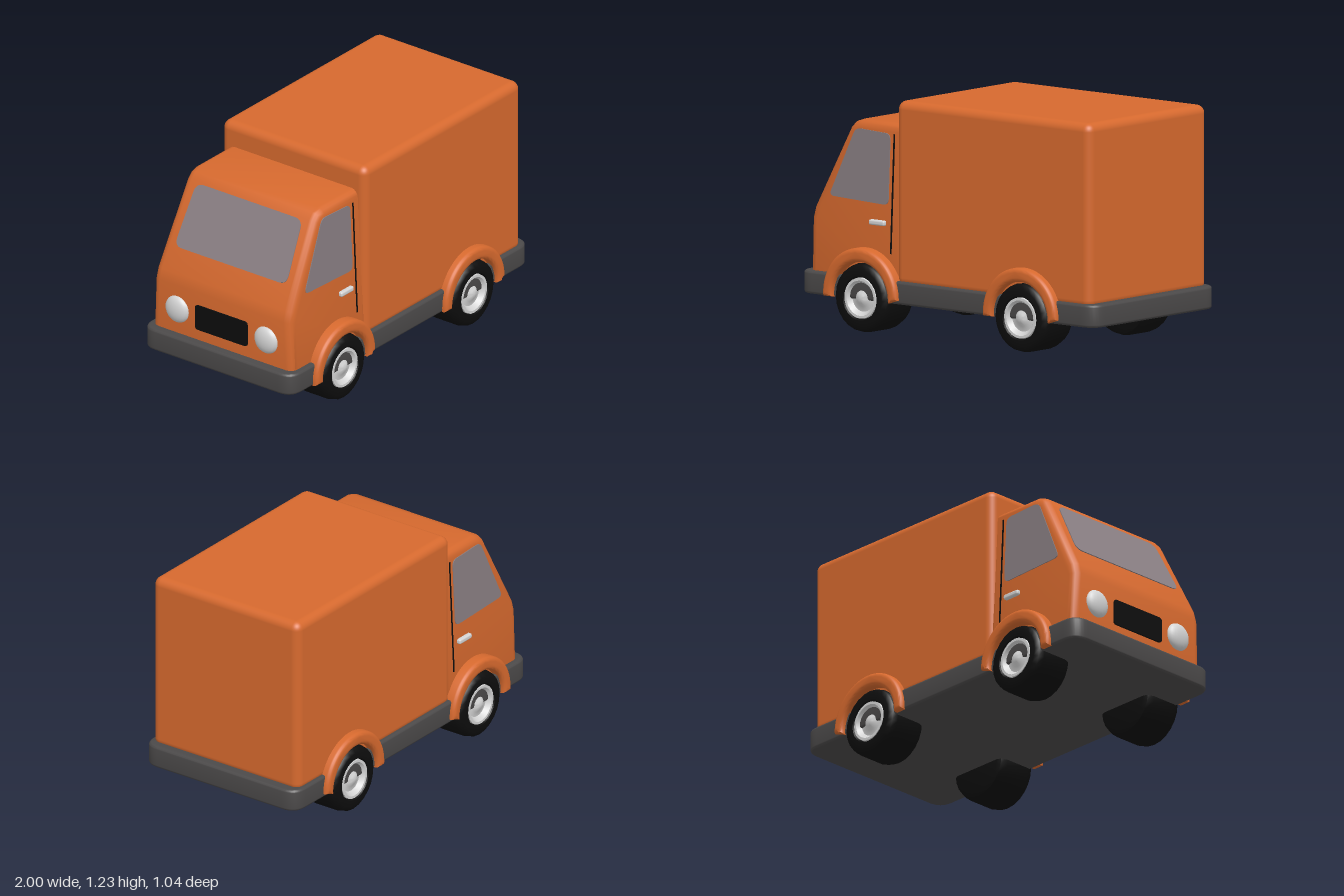
import * as THREE from 'three';
import { toCreasedNormals } from 'three/addons/utils/BufferGeometryUtils.js';
import { RoundedBoxGeometry } from 'three/addons/geometries/RoundedBoxGeometry.js';

const mat = (name, color) => {
  const m = new THREE.MeshStandardMaterial({ color });
  m.name = name;
  return m;
};

export function createModel() {
  const orange = mat('orange paint', 0xd6692e);
  const grey = mat('dark grey trim', 0x4b4949);
  const black = mat('black rubber', 0x0d0d0d);
  const glass = mat('grey glass', 0x8a7f83);
  const silver = mat('silver', 0xd4d4d4);

  const truck = new THREE.Group();
  truck.name = 'truck';
  const add = (name, geometry, material, parent = truck) => {
    const mesh = new THREE.Mesh(geometry, material);
    mesh.name = name;
    parent.add(mesh);
    return mesh;
  };
  const shapeOf = (pts) => new THREE.Shape(pts.map((p) => new THREE.Vector2(...p)));

  // Rectangle-like polygon with softened corners
  const softShape = (pts, r) => {
    const s = new THREE.Shape();
    pts.forEach((p, i) => {
      const v = new THREE.Vector2(...p);
      const toward = (q) => new THREE.Vector2(...q).sub(v).setLength(r).add(v);
      const a = toward(pts[(i + pts.length - 1) % pts.length]);
      const b = toward(pts[(i + 1) % pts.length]);
      if (i) s.lineTo(a.x, a.y); else s.moveTo(a.x, a.y);
      s.quadraticCurveTo(v.x, v.y, b.x, b.y);
    });
    s.closePath();
    return s;
  };

  // Extrusion with rounded edges that stays inside its outline, centred on z = 0
  const rounded = (shape, depth, bevel, curveSegments = 8) => {
    const g = new THREE.ExtrudeGeometry(shape, {
      depth: depth - 2 * bevel, bevelEnabled: true, bevelSize: bevel, bevelThickness: bevel,
      bevelOffset: -bevel, bevelSegments: 4, curveSegments,
    });
    g.translate(0, 0, bevel - depth / 2);
    return toCreasedNormals(g, 0.7);
  };
  const plate = (shape, depth) =>
    new THREE.ExtrudeGeometry(shape, { depth, bevelEnabled: false }).translate(0, 0, -depth / 2);

  // Cab walls lean inward towards the roof
  const lean = (g) => {
    const p = g.attributes.position;
    for (let i = 0; i < p.count; i++) {
      p.setZ(i, p.getZ(i) * (1 - 0.08 * (p.getY(i) - 0.28) / 0.8));
    }
    return g;
  };

  // Chassis with wrap-round bumpers
  const plan = softShape([[-1, -0.49], [1, -0.49], [1, 0.49], [-1, 0.49]], 0.09);
  add('chassisBumper', rounded(plan, 0.12, 0.015).rotateX(-Math.PI / 2).translate(0, 0.228, 0), grey);

  // Cargo box
  add('cargoBox', new RoundedBoxGeometry(1.31, 0.965, 0.94, 4, 0.045).translate(0.295, 0.7425, 0), orange);

  // Cab, from its side profile
  const profile = shapeOf([
    [-0.95, 0.25], [-0.955, 0.56], [-0.94, 0.62], [-0.715, 1.05],
    [-0.685, 1.08], [-0.64, 1.095], [-0.32, 1.095], [-0.32, 0.25],
  ]);
  add('cab', lean(rounded(profile, 0.92, 0.045)), orange);

  // Windscreen, laid on the sloping front
  const up = new THREE.Vector3(0.225, 0.43, 0).normalize();
  const across = new THREE.Vector3(0, 0, 1);
  const out = new THREE.Vector3().crossVectors(across, up);
  const screen = softShape([[-0.365, 0.13], [0.365, 0.13], [0.345, 0.475], [-0.345, 0.475]], 0.05);
  const basis = new THREE.Matrix4().makeBasis(across, up, out).setPosition(-0.94, 0.62, 0);
  add('windscreen', plate(screen, 0.009).applyMatrix4(basis), glass);

  // Grille
  const grille = softShape([[-0.17, 0.35], [0.17, 0.35], [0.17, 0.49], [-0.17, 0.49]], 0.02);
  add('grille', plate(grille, 0.009).rotateY(-Math.PI / 2).translate(-0.956, 0, 0), black);

  const windowShape = softShape(
    [[-0.83, 0.685], [-0.43, 0.67], [-0.43, 1.04], [-0.665, 1.05]], 0.035);
  const seamShape = shapeOf([[-0.409, 0.42], [-0.4, 0.42], [-0.4, 1.04], [-0.409, 1.04]]);

  for (const side of [1, -1]) {
    const label = side > 0 ? 'Front' : 'Back';

    // Door details
    add('sideWindow' + label, lean(plate(windowShape, 0.009).translate(0, 0, side * 0.46)), glass);
    add('doorSeam' + label, lean(plate(seamShape, 0.006).translate(0, 0, side * 0.46)), black);
    add('doorHandle' + label,
      new RoundedBoxGeometry(0.105, 0.028, 0.03, 2, 0.01).translate(-0.495, 0.575, side * 0.452), silver);

    // Headlight
    add('headlight' + label,
      new THREE.SphereGeometry(0.075, 20, 14).scale(0.5, 1, 1).translate(-0.95, 0.425, side * 0.29), silver);

    // Wheels and arches
    for (const x of [-0.57, 0.51]) {
      const arch = new THREE.Shape();
      arch.moveTo(0.248, 0.17);
      arch.absarc(0, 0.19, 0.25, 0, Math.PI, false);
      arch.lineTo(-0.248, 0.17);
      arch.lineTo(-0.188, 0.17);
      arch.absarc(0, 0.18, 0.188, Math.PI, 0, true);
      arch.lineTo(0.188, 0.17);
      arch.closePath();
      add('wheelArch', rounded(arch, 0.14, 0.022, 16).translate(x, 0, side * 0.448), orange);

      const wheel = new THREE.Group();
      wheel.name = 'wheel';
      wheel.position.set(x, 0.18, 0);
      wheel.rotation.x = side * Math.PI / 2;
      truck.add(wheel);
      const lathe = (pts) => toCreasedNormals(
        new THREE.LatheGeometry(pts.map((p) => new THREE.Vector2(...p)), 24).toNonIndexed(), 0.8);
      add('tyre', lathe([[0, 0.275], [0.145, 0.275], [0.168, 0.285], [0.18, 0.32], [0.18, 0.465],
        [0.172, 0.495], [0.15, 0.51], [0.115, 0.508], [0.1, 0.47]]), black, wheel);
      add('hub', lathe([[0.108, 0.465], [0.106, 0.505], [0.092, 0.505], [0.072, 0.48],
        [0.045, 0.485], [0.025, 0.502], [0, 0.506]]), silver, wheel);
    }
  }
  return truck;
}
